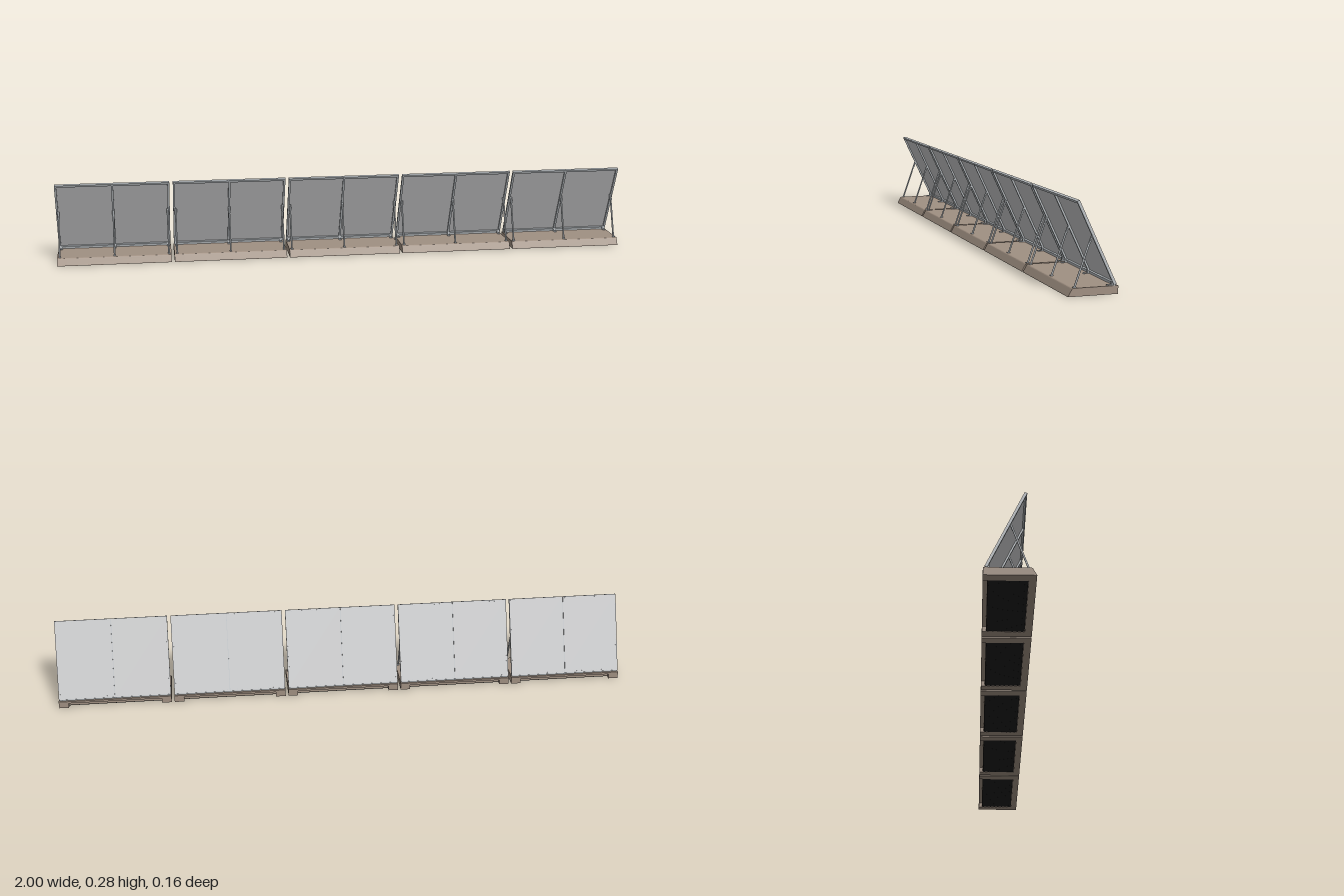
import * as THREE from 'three';

const mat = (name, color) => {
  const m = new THREE.MeshStandardMaterial({ color });
  m.name = name;
  return m;
};

export function createModel() {
  const concrete = mat('brown base', 0xa09082);
  const sheetGrey = mat('panel grey', 0xc6c7c8);
  const steel = mat('steel grey', 0xbbc0c4);
  const black = mat('black mat', 0x1c1c1c);

  const add = (parent, name, geo, material, x = 0, y = 0, z = 0) => {
    const m = new THREE.Mesh(geo, material);
    m.name = name;
    m.position.set(x, y, z);
    parent.add(m);
    return m;
  };
  const box = (parent, name, material, w, h, d, x, y, z) =>
    add(parent, name, new THREE.BoxGeometry(w, h, d), material, x, y, z);

  // Side profile given as [z, y] points, pushed along x and centred on x
  const prism = (parent, name, points, width, x) => {
    const shape = new THREE.Shape(points.map(([z, y]) => new THREE.Vector2(-z, y)));
    const geo = new THREE.ExtrudeGeometry(shape, { depth: width, bevelEnabled: false });
    geo.translate(0, 0, -width / 2).rotateY(Math.PI / 2);
    return add(parent, name, geo, concrete, x, 0, 0);
  };

  // Round bar between two points
  const bar = (parent, name, a, b, r, material) => {
    const dir = b.clone().sub(a);
    const m = add(parent, name, new THREE.CylinderGeometry(r, r, dir.length(), 10), material);
    m.position.copy(a).add(b).multiplyScalar(0.5);
    m.quaternion.setFromUnitVectors(new THREE.Vector3(0, 1, 0), dir.normalize());
    return m;
  };

  const W = 0.392, PITCH = 0.402, FOOT = 0.034;
  const LEN = 0.276, TILT = Math.atan2(0.117, 0.25);
  const boltGeo = new THREE.CylinderGeometry(0.0013, 0.0013, 0.0014, 6).rotateX(Math.PI / 2);
  // Sloping front with a softened upper edge
  const nose = [[0.079, 0], [0.0785, 0.002], [0.0675, 0.0215], [0.0662, 0.0234], [0.0646, 0.0245], [0.0625, 0.025]];

  function base(parent) {
    const g = new THREE.Group();
    g.name = 'base';
    parent.add(g);
    const mid = W - 2 * FOOT;
    // Solid end feet
    for (const s of [-1, 1]) {
      prism(g, 'baseFoot', [...nose, [-0.077, 0.025], [-0.077, 0]], FOOT, s * (W - FOOT) / 2);
    }
    // Middle slab with a rear lip over an open slot, hollowed underneath
    prism(g, 'baseSlab', [...nose, [-0.077, 0.025], [-0.077, 0.018], [-0.064, 0.018], [-0.064, 0.004],
      [0.056, 0.004], [0.056, 0]], mid, 0);
    // Ribbed anti-slip mat
    box(g, 'mat', black, mid, 0.003, 0.119, 0, 0.003, -0.004);
    for (let i = 0; i < 8; i++) {
      box(g, 'matRib', black, mid, 0.0015, 0.005, 0, 0.0009, -0.058 + i * 0.0151);
    }
  }

  function panel(parent) {
    const g = new THREE.Group();
    g.name = 'panel';
    g.position.set(0, 0.0285, -0.068);
    g.rotation.x = TILT;
    parent.add(g);
    const w = 0.39;
    // Two sheets with a narrow seam between them
    for (const s of [-1, 1]) {
      box(g, 'sheet', sheetGrey, w / 2 - 0.001, LEN, 0.003, s * (w / 4 + 0.0005), LEN / 2, -0.003);
    }
    // Stiffening frame on the front
    for (const x of [-w / 2 + 0.0035, 0, w / 2 - 0.0035]) {
      box(g, 'post', steel, 0.007, LEN, 0.006, x, LEN / 2, 0.0012);
    }
    for (const y of [0.004, LEN - 0.004]) {
      box(g, 'rail', steel, w - 0.014, 0.008, 0.0056, 0, y, 0.001);
    }
    // Rivets round the edge
    for (let i = 0; i < 22; i++) {
      const x = -w / 2 + 0.005 + i * (w - 0.01) / 21;
      for (const y of [0.005, LEN - 0.005]) add(g, 'rivet', boltGeo, steel, x, y, -0.0046);
    }
    for (let i = 1; i < 15; i++) {
      for (const s of [-1, 1]) add(g, 'rivet', boltGeo, steel, s * (w / 2 - 0.005), LEN * i / 15, -0.0046);
    }
  }

  function supports(parent) {
    // Hinge strip under the panel
    box(parent, 'hingeStrip', steel, 0.386, 0.004, 0.006, 0, 0.0268, -0.067);
    for (const x of [-0.187, 0, 0.187]) {
      // Raking strut with its foot plate and top clamp
      bar(parent, 'strut', new THREE.Vector3(x, 0.026, 0.056), new THREE.Vector3(x, 0.171, 0.005), 0.003, steel);
      box(parent, 'strutFoot', steel, 0.008, 0.002, 0.01, x, 0.026, 0.057);
      const clamp = box(parent, 'strutClamp', steel, 0.008, 0.022, 0.004, x, 0.163, 0.007);
      clamp.rotation.x = -0.34;
      // Rear hinge
      box(parent, 'hingePlate', steel, 0.01, 0.002, 0.026, x, 0.026, -0.058);
      box(parent, 'hingeLug', steel, 0.008, 0.01, 0.007, x, 0.032, -0.0615);
      const pin = add(parent, 'hingePin', new THREE.CylinderGeometry(0.0022, 0.0022, 0.011, 10), steel, x, 0.034, -0.0615);
      pin.rotation.z = Math.PI / 2;
      add(parent, 'anchorBolt', new THREE.CylinderGeometry(0.0025, 0.0025, 0.002, 6), steel, x, 0.0278, -0.047);
    }
  }

  const root = new THREE.Group();
  root.name = 'barrier';
  for (let i = -2; i <= 2; i++) {
    const unit = new THREE.Group();
    unit.name = 'barrierSection';
    unit.position.x = i * PITCH;
    base(unit);
    panel(unit);
    supports(unit);
    root.add(unit);
  }
  return root;
}
